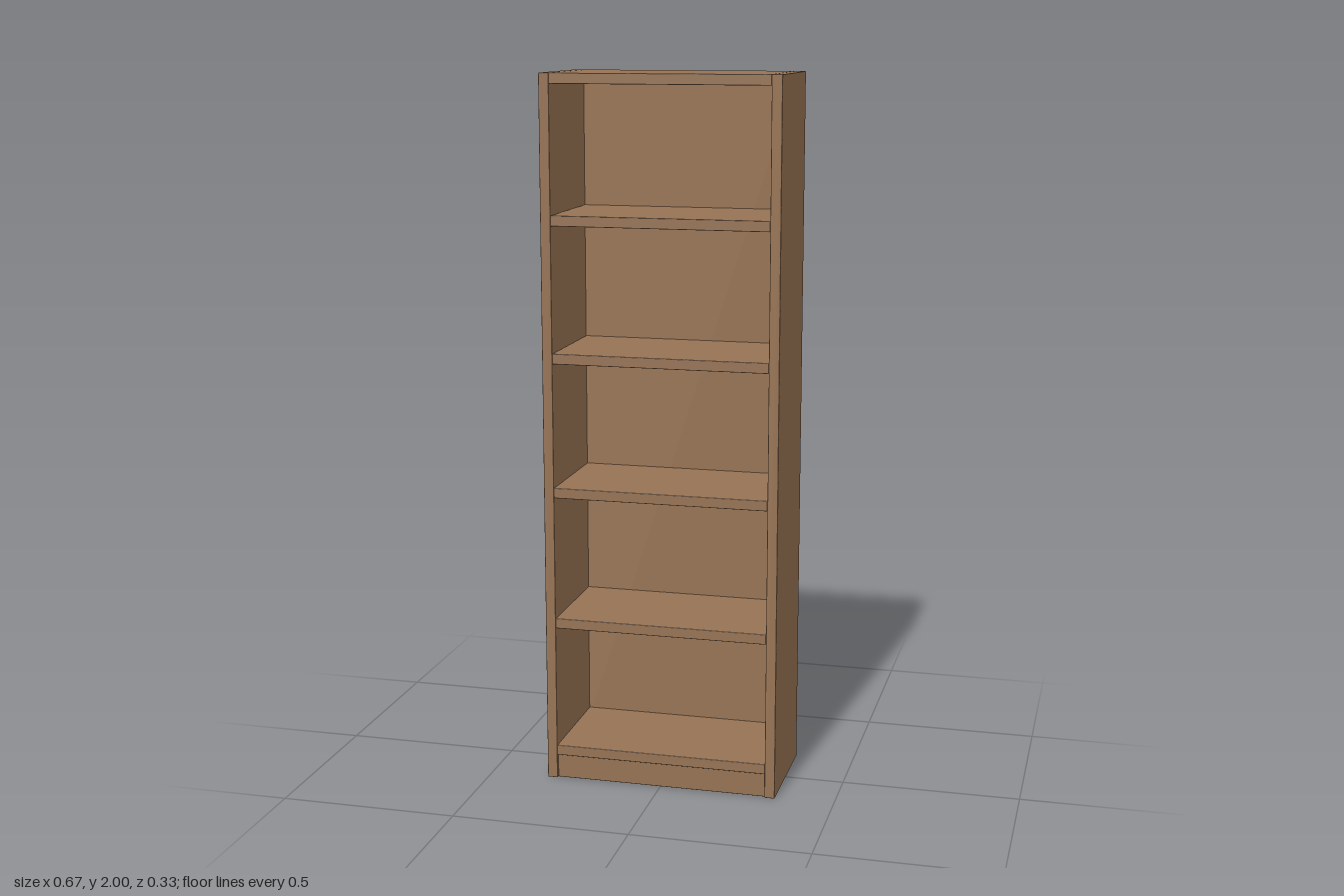
import * as THREE from 'three';
import { RoundedBoxGeometry } from 'three/addons/geometries/RoundedBoxGeometry.js';

const WIDTH = 0.666, HEIGHT = 2, DEPTH = 0.332;
const BOARD = 0.029, BACK = 0.006, EDGE = 0.002;
const INNER = WIDTH - 2 * BOARD;

export function createModel() {
  const bookcase = new THREE.Group();
  bookcase.name = 'bookcase';
  const wood = new THREE.MeshStandardMaterial({ color: 0x967354 });

  // Board with slightly eased edges, placed by its bottom and front faces
  function board(name, w, h, d, x, bottom, front) {
    const mesh = new THREE.Mesh(new RoundedBoxGeometry(w, h, d, 2, EDGE), wood);
    mesh.name = name;
    mesh.position.set(x, bottom + h / 2, front - d / 2);
    bookcase.add(mesh);
  }

  // Side panels, full height
  for (const side of [1, -1]) {
    const x = side * (WIDTH - BOARD) / 2;
    board(side > 0 ? 'leftSide' : 'rightSide', BOARD, HEIGHT, DEPTH, x, 0, DEPTH / 2);
  }

  // Top board runs over the back panel
  board('top', INNER, BOARD, DEPTH, 0, HEIGHT - BOARD, DEPTH / 2);

  // Five evenly spaced shelves, stopping at the back panel
  const lowest = 0.07, spacing = 0.38;
  for (let i = 0; i < 5; i++) {
    board(`shelf${i + 1}`, INNER, BOARD, DEPTH - BACK, 0, lowest + i * spacing, DEPTH / 2);
  }

  // Kick board under the lowest shelf, set back a little
  board('kickBoard', INNER, lowest, BOARD, 0, 0, DEPTH / 2 - 0.008);

  // Thin back panel from the lowest shelf up to the top board
  const back = new THREE.Mesh(
    new THREE.BoxGeometry(INNER, HEIGHT - BOARD - lowest, BACK), wood);
  back.name = 'backPanel';
  back.position.set(0, (HEIGHT - BOARD + lowest) / 2, (BACK - DEPTH) / 2);
  bookcase.add(back);

  return bookcase;
}
